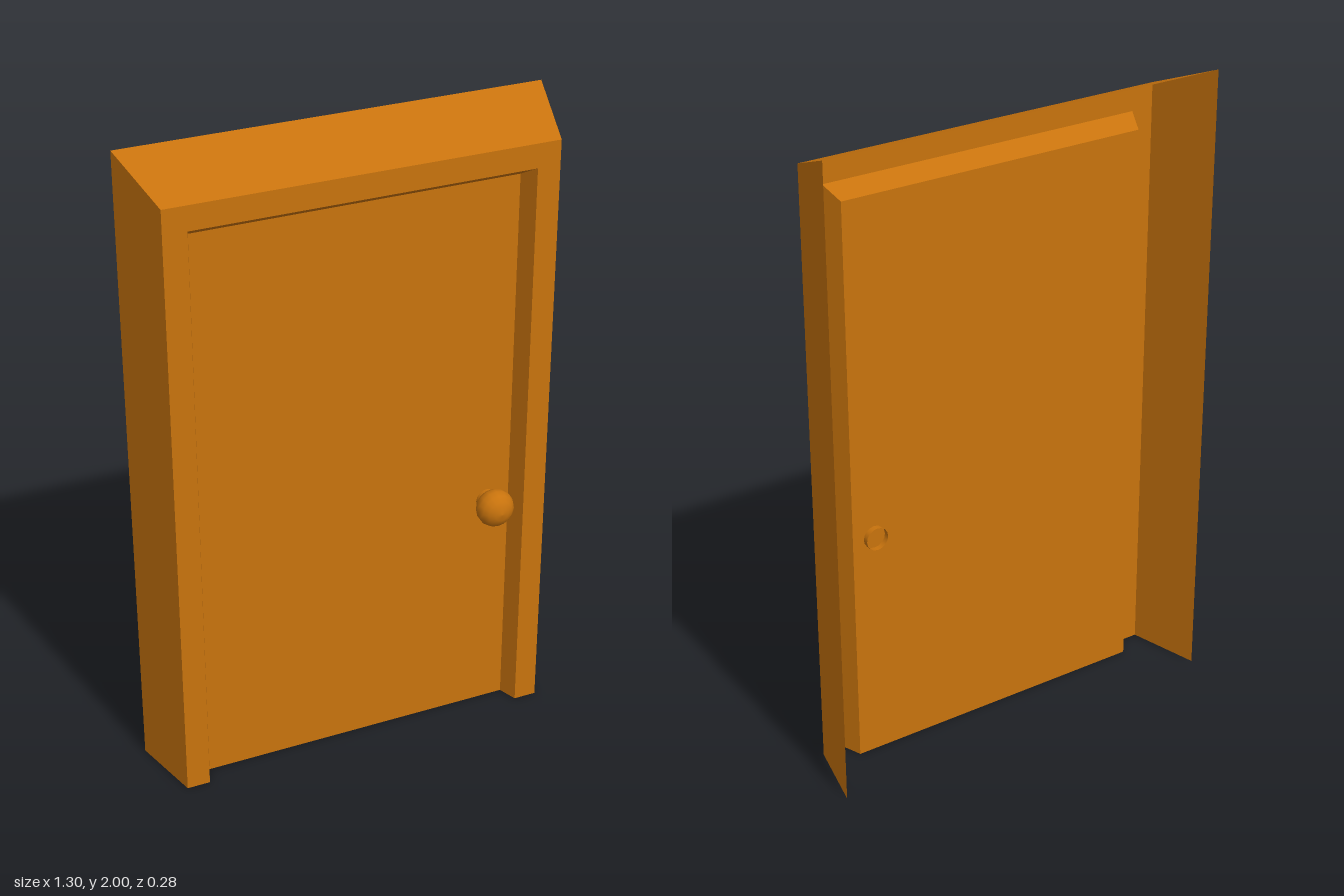
import * as THREE from 'three';

// Open-bottomed doorway outline: half width w, height h, depth z
const outline = ([w, h, z]) => [[-w, 0, z], [-w, h, z], [w, h, z], [w, 0, z]];

// Flat band joining two doorway outlines (left jamb, head, right jamb)
function band(from, to) {
  const a = outline(from), b = outline(to), pos = [];
  for (let k = 0; k < 3; k++) {
    pos.push(...a[k], ...b[k], ...b[k + 1], ...a[k], ...b[k + 1], ...a[k + 1]);
  }
  const geo = new THREE.BufferGeometry();
  geo.setAttribute('position', new THREE.Float32BufferAttribute(pos, 3));
  geo.computeVertexNormals();
  return geo;
}

export function createModel() {
  const model = new THREE.Group();
  model.name = 'door';
  const wood = new THREE.MeshStandardMaterial({ color: 0xc8730d, side: THREE.DoubleSide });
  wood.name = 'orange wood';

  const add = (name, geo, x = 0, y = 0, z = 0) => {
    const mesh = new THREE.Mesh(geo, wood);
    mesh.name = name;
    mesh.position.set(x, y, z);
    model.add(mesh);
    return mesh;
  };

  // Frame shell, open at the back: splayed sides, front casing, inner recess
  const back = [0.652, 2, -0.14], front = [0.597, 1.91, 0.09];
  const opening = [0.525, 1.835, 0.09], panel = [0.503, 1.8, 0.03];
  add('frameSides', band(back, front));
  add('frameCasing', band(front, opening));
  add('frameRecess', band(opening, panel));

  // Door leaf, a single sheet
  add('doorPanel', new THREE.PlaneGeometry(panel[0] * 2, panel[1]), 0, panel[1] / 2, panel[2]);

  // Knob: slightly flattened ball on a short open neck
  const knobX = 0.43, knobY = 0.74;
  const ball = [[0.036, -0.038]];
  for (let i = 0; i <= 6; i++) {
    const t = -0.6 + (Math.PI / 2 + 0.6) * i / 6;
    ball.push([0.06 * Math.cos(t), 0.05 * Math.sin(t)]);
  }
  const ballGeo = new THREE.LatheGeometry(ball.map(([r, z]) => new THREE.Vector2(Math.max(r, 0), z)), 16);
  add('knobBall', ballGeo.rotateX(Math.PI / 2), knobX, knobY, 0.085);
  const neckGeo = new THREE.CylinderGeometry(0.036, 0.036, 0.037, 16, 1, true);
  add('knobNeck', neckGeo.rotateX(Math.PI / 2), knobX, knobY, 0.0305);

  return model;
}
